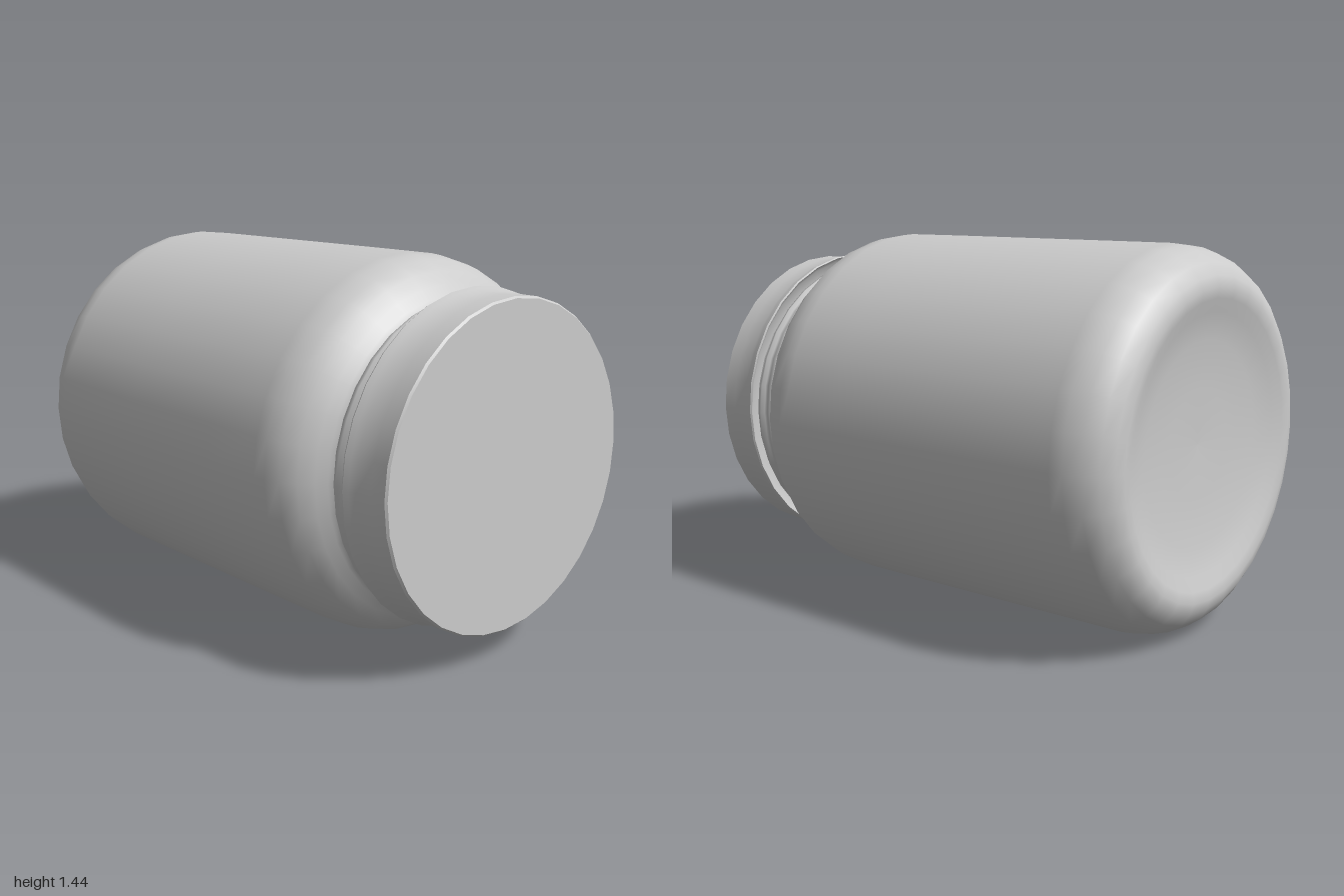
import * as THREE from 'three';
import { toCreasedNormals } from 'three/addons/utils/BufferGeometryUtils.js';

const SIDES = 32;
const CENTRE_Y = 0.72;

// Revolve [radius, z] pairs, listed from back to front, around the jar's lying axis
function turned(name, profile, crease) {
  const points = profile.map(([r, z]) => new THREE.Vector2(r, z));
  let geometry = new THREE.LatheGeometry(points, SIDES);
  geometry.rotateX(Math.PI / 2);
  if (crease) geometry = toCreasedNormals(geometry, crease);
  const mesh = new THREE.Mesh(
    geometry,
    new THREE.MeshStandardMaterial({ color: 0xcccccc, side: THREE.DoubleSide })
  );
  mesh.name = name;
  mesh.position.y = CENTRE_Y;
  return mesh;
}

export function createModel() {
  const group = new THREE.Group();
  group.name = 'jar';

  // Body: hollowed base, rounded heel, straight wall, shoulder
  group.add(turned('body', [
    [0, -0.93], [0.2, -0.935], [0.38, -0.95], [0.48, -0.975], [0.53, -0.993],
    [0.57, -1], [0.61, -0.99], [0.655, -0.96], [0.69, -0.91], [0.71, -0.85], [0.716, -0.8],
    [0.718, -0.3], [0.72, 0.2], [0.72, 0.47], [0.715, 0.52], [0.7, 0.58],
    [0.665, 0.635], [0.62, 0.675], [0.585, 0.7], [0.573, 0.715],
  ]));

  // Neck: rounded bead and a narrow groove under the lid
  group.add(turned('neck', [
    [0.573, 0.715], [0.582, 0.73], [0.585, 0.745], [0.576, 0.76],
    [0.578, 0.772], [0.588, 0.785], [0.586, 0.797], [0.565, 0.806], [0.565, 0.83],
  ]));

  // Lid: flared rear lip, slightly tapered skirt, flat face
  const lid = turned('lid', [
    [0.56, 0.83], [0.6, 0.822], [0.618, 0.805], [0.622, 0.812], [0.616, 0.835],
    [0.607, 0.86], [0.605, 0.93], [0.605, 0.992], [0.598, 1], [0.3, 1], [0, 1],
  ], 0.7);
  lid.position.y = CENTRE_Y + 0.006;
  group.add(lid);

  return group;
}
